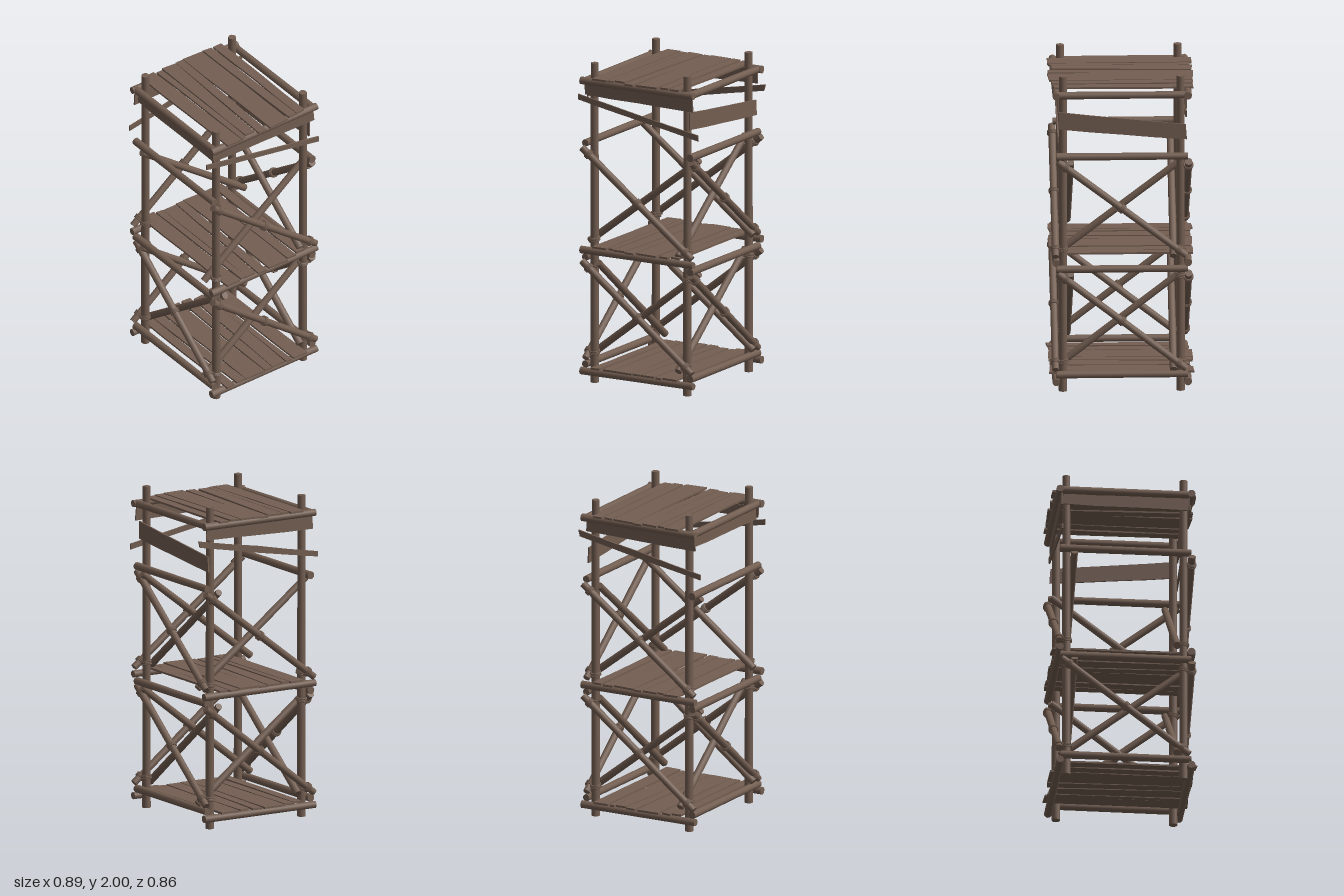
import * as THREE from 'three';

const wood = new THREE.MeshStandardMaterial({ color: 0x735e51 });
wood.name = 'weathered wood';

// seeded jitter in -1..1
let seed = 7;
const jitter = (s) => {
  seed = (seed * 16807) % 2147483647;
  return (seed / 2147483647 * 2 - 1) * s;
};

const V = (x, y, z) => new THREE.Vector3(x, y, z);

function add(parent, geometry, name) {
  const mesh = new THREE.Mesh(geometry, wood);
  mesh.name = name;
  parent.add(mesh);
  return mesh;
}

// round pole between two points
function pole(parent, a, b, r, name) {
  const dir = b.clone().sub(a);
  const mesh = add(parent, new THREE.CylinderGeometry(r * 0.96, r * 1.04, dir.length(), 12), name);
  mesh.position.copy(a).add(b).multiplyScalar(0.5);
  mesh.quaternion.setFromUnitVectors(V(0, 1, 0), dir.normalize());
}

// a few rope turns round a pole
function lashing(parent, at, dir, r) {
  const axis = dir.clone().normalize();
  for (const k of [-1, 0, 1]) {
    const mesh = add(parent, new THREE.TorusGeometry(r, 0.005, 6, 16), 'ropeLashing');
    mesh.position.copy(at).addScaledVector(axis, k * 0.009);
    mesh.quaternion.setFromUnitVectors(V(0, 0, 1), axis);
  }
}

// rough board: lower and upper edge from left to right, with uneven edges and ends
function boardGeometry(x0, x1, low, high, rough = 0.004, depth = 0.01) {
  const n = 4, bottom = [], top = [];
  for (let i = 0; i <= n; i++) {
    const t = i / n, x = x0 + (x1 - x0) * t;
    const end = i === 0 || i === n ? 0.007 : 0;
    bottom.push(new THREE.Vector2(x + jitter(end), low[0] + (low[1] - low[0]) * t + jitter(rough)));
    top.unshift(new THREE.Vector2(x1 + x0 - x, 0));
  }
  top.forEach((p, i) => {
    const t = 1 - i / n;
    p.x = x0 + (x1 - x0) * t + jitter(i === 0 || i === n ? 0.007 : 0);
    p.y = high[0] + (high[1] - high[0]) * t + jitter(rough);
  });
  const g = new THREE.ExtrudeGeometry(new THREE.Shape([...bottom, ...top]), { depth, bevelEnabled: false });
  return g.translate(0, 0, -depth / 2);
}

// crossed braces: one outside the posts, one inside
function crossBrace(face, y0, y1, d) {
  const h = 0.39, out = d + 0.047, inn = d - 0.045;
  const a = V(-h, y1, out), b = V(h, y0, out);
  pole(face, a, b, 0.022, 'outerBrace');
  pole(face, V(-h, y0, inn), V(h, y1, inn), 0.022, 'innerBrace');
  const dir = b.clone().sub(a);
  for (const t of [0.06, 0.5, 0.94]) lashing(face, a.clone().lerp(b, t), dir, 0.026);
}

// one side of the tower, facing +z before it is turned
function towerFace({ name, turn, d, rails, braces, boards }) {
  const face = new THREE.Group();
  face.name = name;
  for (const y of rails) pole(face, V(-0.4, y, d + 0.043), V(0.4, y, d + 0.043), 0.023, 'rail');
  for (const [y0, y1] of braces) crossBrace(face, y0, y1, d);
  for (const [x0, x1, low, high] of boards) {
    add(face, boardGeometry(x0, x1, low, high), 'guardBoard').position.z = d + 0.031;
  }
  face.rotation.y = turn;
  return face;
}

// plank rows: left x, right x, front edge (left, right), back edge (left, right)
const planks = [
  [-0.44, 0.41, [0.245, 0.24], [0.305, 0.3]],
  [-0.435, 0.42, [0.165, 0.17], [0.228, 0.232]],
  [-0.435, 0.44, [0.02, 0.015], [0.16, 0.157]],
  [-0.44, 0.44, [-0.037, -0.068], [0.018, -0.007]],
  [-0.435, 0.42, [-0.14, -0.152], [-0.045, -0.08]],
  [-0.43, 0.43, [-0.19, -0.19], [-0.148, -0.157]],
  [-0.44, 0.435, [-0.298, -0.3], [-0.2, -0.2]],
];

function platform(y, turn, name) {
  const deck = new THREE.Group();
  deck.name = name;
  for (const [x0, x1, front, back] of planks) {
    const mesh = add(deck, boardGeometry(x0, x1, front, back, 0.003, 0.012), 'plank');
    mesh.rotation.set(-Math.PI / 2, jitter(0.004), 0, 'YXZ');
    mesh.position.y = jitter(0.003);
  }
  deck.position.y = y;
  deck.rotation.y = turn;
  return deck;
}

export function createModel() {
  seed = 7;
  const tower = new THREE.Group();
  tower.name = 'watchtower';

  // corner posts
  for (const x of [-0.358, 0.358]) for (const z of [-0.33, 0.33]) {
    pole(tower, V(x, 0, z), V(x, 2, z), 0.025, 'cornerPost');
    for (const y of [0.9, 0.19, 0.73]) lashing(tower, V(x, y, z), V(Math.sign(x) * 0.2, 1, 0), 0.03);
  }

  // four sides
  const lower = [0.15, 0.76], upper = [0.87, 1.47];
  const longRails = [0.115, 0.785, 1.5, 1.89], sideRails = [0.072, 0.83, 1.89];
  const fascia = [-0.38, 0.385, [1.8, 1.79], [1.87, 1.87]];
  const slat = [-0.425, 0.425, [1.765, 1.61], [1.8, 1.645]];
  const sides = [
    { name: 'frontSide', turn: 0, d: 0.33, rails: longRails, braces: [lower], boards: [fascia] },
    { name: 'backSide', turn: Math.PI, d: 0.33, rails: longRails, braces: [lower, upper],
      boards: [[-0.39, 0.39, [1.67, 1.6], [1.78, 1.7]]] },
    { name: 'leftSide', turn: Math.PI / 2, d: 0.358, rails: sideRails, braces: [lower, upper], boards: [fascia, slat] },
    { name: 'rightSide', turn: -Math.PI / 2, d: 0.358, rails: sideRails, braces: [lower, upper], boards: [fascia, slat] },
  ];
  for (const s of sides) tower.add(towerFace(s));

  // plank decks
  tower.add(platform(0.102, Math.PI, 'lowerDeck'));
  tower.add(platform(0.86, 0, 'middleDeck'));
  tower.add(platform(1.915, 0, 'roofDeck'));
  return tower;
}
